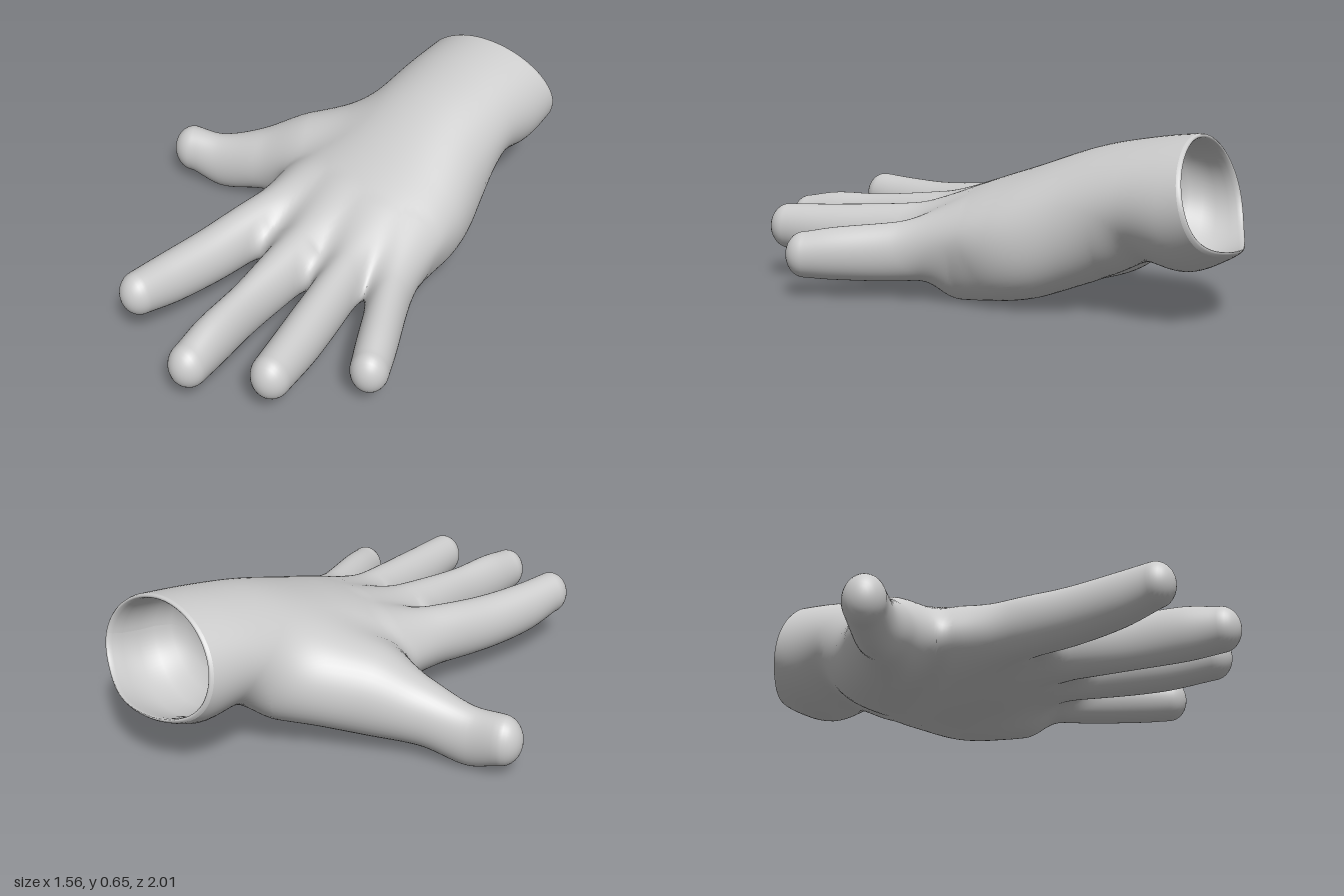
import * as THREE from 'three';

// Cross-sections per limb, root to tip: [x, y, z, halfWidth, halfHeight]
const LIMBS = {
  palm: [
    [.13, .475, -1.05, .27, .18], [.13, .443, -.95, .28, .217], [.13, .416, -.83, .284, .239],
    [.133, .411, -.65, .28, .218], [.145, .342, -.45, .305, .243], [.165, .268, -.2, .358, .228],
    [.17, .238, 0, .37, .188], [.172, .222, .14, .325, .142], [.165, .21, .28, .215, .08]],
  thumb: [
    [-.02, .265, -.42, .18, .16], [-.25, .228, -.2, .16, .176], [-.42, .174, -.095, .11, .133],
    [-.58, .125, -.02, .083, .12], [-.7, .148, .025, .08, .1]],
  indexFinger: [
    [-.03, .245, .03, .11, .13], [-.07, .227, .3, .092, .12], [-.085, .215, .5, .088, .112],
    [-.095, .222, .7, .081, .103], [-.095, .243, .84, .073, .087]],
  middleFinger: [
    [.14, .25, .03, .1, .135], [.175, .217, .35, .09, .12], [.205, .198, .6, .07, .11],
    [.235, .193, .8, .074, .106], [.26, .188, .928, .073, .088]],
  ringFinger: [
    [.3, .24, .03, .095, .125], [.378, .215, .28, .082, .115], [.463, .2, .58, .081, .105],
    [.517, .205, .78, .074, .088]],
  littleFinger: [
    [.42, .21, -.02, .09, .12], [.54, .18, .2, .076, .11], [.657, .167, .4, .074, .098],
    [.713, .16, .497, .07, .086]],
  heelOfHand: [
    [.24, .29, -.52, .12, .12], [.32, .2, -.32, .14, .14], [.36, .162, -.18, .13, .135], [.39, .118, 0, .085, .108]],
};
// how softly each limb melts into the others
const BLEND = { thumb: 0.1, heelOfHand: 0.1 };

// Turns the sections into a straight axis with smoothly interpolated offsets
function makeLimb(keys, blend = 0.055) {
  const first = keys[0], last = keys[keys.length - 1];
  const len = Math.hypot(last[0] - first[0], last[2] - first[2]);
  const dx = (last[0] - first[0]) / len, dz = (last[2] - first[2]) / len;
  const local = (x, z) => [(x - first[0]) * dx + (z - first[2]) * dz, (x - first[0]) * dz - (z - first[2]) * dx];
  const rows = keys.map(([x, y, z, a, b]) => { const [t, u] = local(x, z); return [t, u, y, a, b]; });
  const slopes = rows.map((_, i) => {
    const p = rows[Math.max(i - 1, 0)], q = rows[Math.min(i + 1, rows.length - 1)];
    return p.map((v, c) => (q[c] - v) / (q[0] - p[0]));
  });
  const section = (t) => {
    t = THREE.MathUtils.clamp(t, 0, len);
    let i = 0;
    while (i < rows.length - 2 && t > rows[i + 1][0]) i++;
    const h = rows[i + 1][0] - rows[i][0], s = (t - rows[i][0]) / h, s2 = s * s, s3 = s2 * s;
    return [1, 2, 3, 4].map((c) => (2 * s3 - 3 * s2 + 1) * rows[i][c] + (s3 - 2 * s2 + s) * h * slopes[i][c]
      + (3 * s2 - 2 * s3) * rows[i + 1][c] + (s3 - s2) * h * slopes[i + 1][c]);
  };
  // point on (scale 1) or inside the limb
  const point = (t, angle, scale = 1) => {
    const [u, y, a, b] = section(t), w = u + a * scale * Math.cos(angle);
    return new THREE.Vector3(first[0] + dx * t + dz * w, y + b * scale * Math.sin(angle), first[2] + dz * t - dx * w);
  };
  const distance = (p) => {
    const [t, w] = local(p.x, p.z), [u, y, a, b] = section(t);
    const r = Math.min(a, b), over = t - THREE.MathUtils.clamp(t, 0, len);
    return (Math.hypot((w - u) / a, (p.y - y) / b, over / r) - 1) * r;
  };
  const radius = (t) => Math.min(...section(t).slice(2));
  return { len, point, distance, radius, blend, z0: first[2] };
}

const limbs = Object.fromEntries(Object.entries(LIMBS).map(([name, keys]) => [name, makeLimb(keys, BLEND[name])]));

// Smooth union of all limbs, used to melt the joints together
function field(p) {
  let d = Infinity;
  for (const limb of Object.values(limbs)) {
    const e = limb.distance(p);
    if (d === Infinity) { d = e; continue; }
    const h = Math.max(limb.blend - Math.abs(d - e), 0) / limb.blend;
    d = Math.min(d, e) - h * h * limb.blend / 4;
  }
  return d;
}

function gradient(p) {
  const e = 0.004, g = new THREE.Vector3(), q = new THREE.Vector3();
  for (const axis of ['x', 'y', 'z']) {
    q.copy(p)[axis] += e;
    const ahead = field(q);
    q[axis] -= 2 * e;
    g[axis] = (ahead - field(q)) / (2 * e);
  }
  return g;
}

// Grid of points -> indexed geometry, rows running along the limb
function gridGeometry(rows, cols, at) {
  const pos = [], index = [];
  for (let i = 0; i <= rows; i++) {
    for (let j = 0; j <= cols; j++) {
      pos.push(...at(i, (j % cols) / cols * Math.PI * 2).toArray());
      if (i === rows || j === cols) continue;
      const a = i * (cols + 1) + j, b = a + cols + 1;
      index.push(a, a + 1, b, a + 1, b + 1, b);
    }
  }
  const geo = new THREE.BufferGeometry();
  geo.setAttribute('position', new THREE.Float32BufferAttribute(pos, 3));
  geo.setIndex(index);
  return geo;
}

// Moves vertices onto the blended skin and takes smooth normals from it
function meltOntoSkin(geo) {
  const pos = geo.attributes.position, normals = [], p = new THREE.Vector3();
  for (let i = 0; i < pos.count; i++) {
    p.fromBufferAttribute(pos, i);
    if (field(p) > -0.06) {
      for (let n = 0; n < 4; n++) {
        const g = gradient(p);
        p.addScaledVector(g, THREE.MathUtils.clamp(-field(p) / Math.max(g.lengthSq(), 0.2), -0.03, 0.03));
      }
    }
    pos.setXYZ(i, p.x, p.y, p.z);
    normals.push(...gradient(p).normalize().toArray());
  }
  geo.setAttribute('normal', new THREE.Float32BufferAttribute(normals, 3));
  return geo;
}

// Slanted edge of the open wrist with a longer underside, as a distance along the palm
const wristCut = (angle) => {
  const up = Math.sin(angle);
  return -0.88 + 0.055 * up - 0.04 * Math.cos(angle) - 0.05 * Math.min(up, 0) ** 4 - limbs.palm.z0;
};

function limbGeometry(name) {
  const limb = limbs[name], isPalm = name === 'palm';
  const cap = 8, body = isPalm ? 60 : 34, start = isPalm ? 0 : cap;
  return gridGeometry(start + body + cap, isPalm ? 80 : 44, (i, angle) => {
    const k = i - start;
    if (k >= 0 && k <= body) {
      return limb.point(THREE.MathUtils.lerp(isPalm ? wristCut(angle) : 0, limb.len, k / body), angle);
    }
    // rounded ends
    const atTip = k > body, phi = (atTip ? k - body : -k) / cap * Math.PI / 2;
    const reach = limb.radius(atTip ? limb.len : 0) * Math.sin(phi);
    return limb.point(atTip ? limb.len + reach : -reach, angle, Math.max(Math.cos(phi), 0.001));
  });
}

// Rolled lip and hollow inside of the wrist: [step inward, scale]
function wristOpeningGeometry() {
  const profile = [[0, 1], [-.01, .987], [-.015, .965], [-.011, .942], [.005, .922], [.04, .908], [.1, .9],
    [.16, .87], [.21, .78], [.245, .6], [.262, .35], [.27, .001]];
  const geo = gridGeometry(profile.length - 1, 80, (i, angle) => {
    const [step, scale] = profile[i], even = -0.9 - limbs.palm.z0;
    const t = THREE.MathUtils.lerp(wristCut(angle), even, Math.max(step, 0) / 0.27);
    return limbs.palm.point(t + step, angle, scale);
  });
  geo.setIndex([...geo.index.array].reverse());
  geo.computeVertexNormals();
  return geo;
}

export function createModel() {
  const hand = new THREE.Group();
  hand.name = 'hand';
  const skin = new THREE.MeshStandardMaterial({ color: 0xcccccc });
  const lining = new THREE.MeshStandardMaterial({ color: 0xcccccc, side: THREE.DoubleSide });
  const add = (name, geo, material) => {
    const mesh = new THREE.Mesh(geo, material);
    mesh.name = name;
    hand.add(mesh);
  };
  for (const name of Object.keys(limbs)) add(name, meltOntoSkin(limbGeometry(name)), skin);
  add('wristOpening', wristOpeningGeometry(), lining);
  return hand;
}
